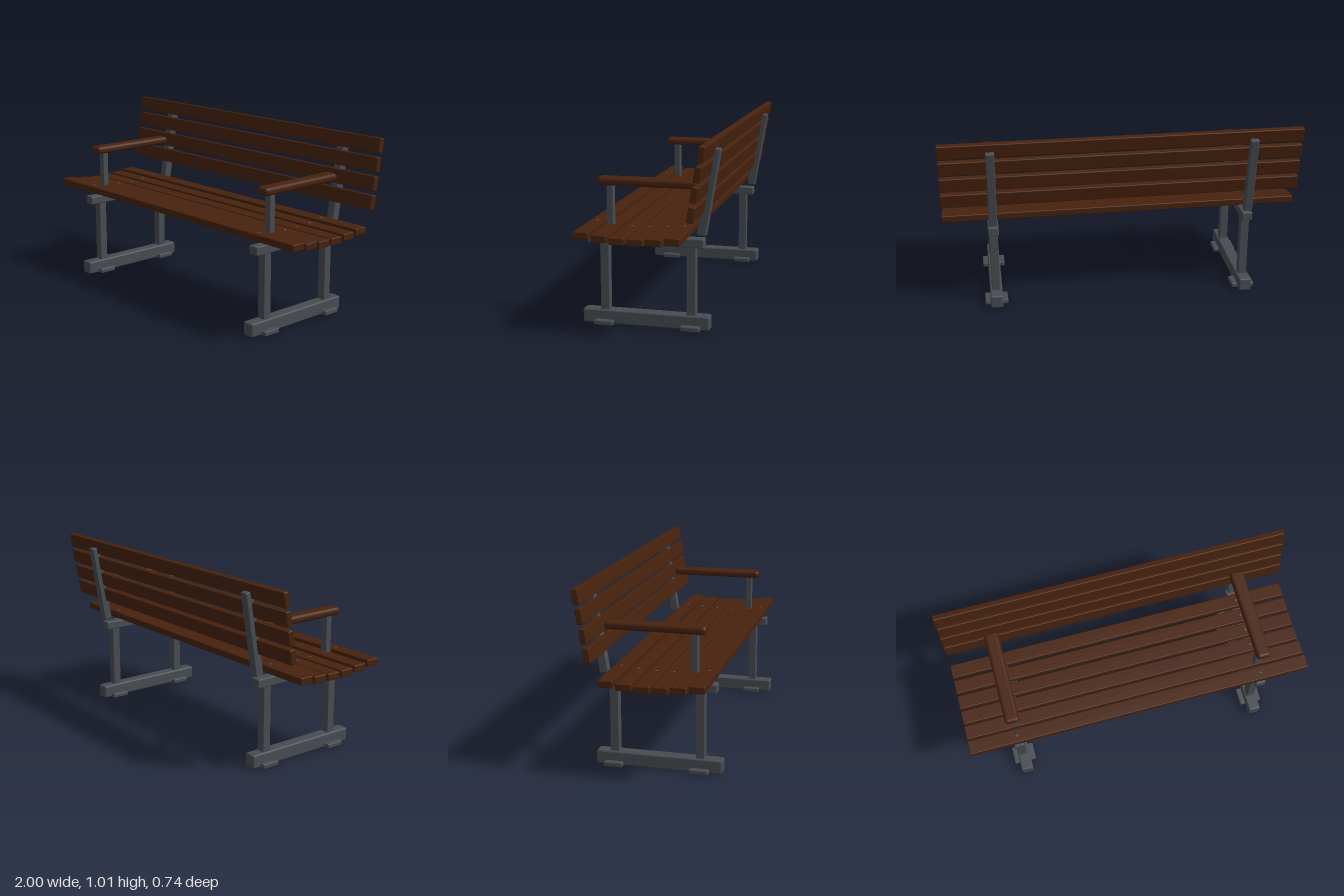
import * as THREE from 'three';
import { RoundedBoxGeometry } from 'three/addons/geometries/RoundedBoxGeometry.js';

export function createModel() {
  const bench = new THREE.Group();
  bench.name = 'bench';

  const wood = new THREE.MeshStandardMaterial({ color: 0x47220e });
  wood.name = 'brown wood';
  const metal = new THREE.MeshStandardMaterial({ color: 0x484c52 });
  metal.name = 'grey metal';

  // Softened box, given by its size and centre
  function bar(name, parent, material, size, centre, radius = 0.006, tilt = 0) {
    const mesh = new THREE.Mesh(new RoundedBoxGeometry(...size, 3, radius), material);
    mesh.name = name;
    mesh.position.set(...centre);
    mesh.rotation.x = tilt;
    parent.add(mesh);
    return mesh;
  }

  const frameX = 0.72;
  const lean = -0.165;

  // Seat: six slats following a shallow dip
  const seat = new THREE.Group();
  seat.name = 'seat';
  bench.add(seat);
  const seatHeights = [0.535, 0.523, 0.515, 0.514, 0.519, 0.529];
  const boltGeometry = new THREE.SphereGeometry(0.008, 12, 6, 0, Math.PI * 2, 0, Math.PI / 2);
  seatHeights.forEach((y, i) => {
    const z = 0.293 - i * 0.0945;
    bar('seatSlat', seat, wood, [2, 0.039, 0.081], [0, y, z]);
    // Bolt heads above each frame
    for (const side of [-1, 1]) {
      const bolt = new THREE.Mesh(boltGeometry, metal);
      bolt.name = 'seatBolt';
      bolt.scale.y = 0.5;
      bolt.position.set(side * frameX, y + 0.019, z);
      seat.add(bolt);
    }
  });

  // Backrest: four slats leaning backwards
  const backrest = new THREE.Group();
  backrest.name = 'backrest';
  bench.add(backrest);
  for (let i = 0; i < 4; i++) {
    bar('backSlat', backrest, wood, [2, 0.081, 0.035],
      [0, 0.668 + i * 0.1, -0.274 - i * 0.0168], 0.006, lean);
  }

  // Two matching side frames with armrests
  for (const side of [-1, 1]) {
    const frame = new THREE.Group();
    frame.name = side > 0 ? 'leftFrame' : 'rightFrame';
    frame.position.x = side * frameX;
    bench.add(frame);

    bar('baseBeam', frame, metal, [0.07, 0.076, 0.687], [0, 0.04, 0.0265], 0.01);
    bar('seatBeam', frame, metal, [0.06, 0.05, 0.622], [0, 0.464, 0.027], 0.007);
    for (const z of [0.25, -0.217]) {
      bar('leg', frame, metal, [0.048, 0.38, 0.048], [0, 0.26, z], 0.004);
    }
    for (const z of [0.25, -0.218]) {
      bar('foot', frame, metal, [0.13, 0.026, 0.103], [0, 0.013, z], 0.006);
    }
    bar('backPost', frame, metal, [0.048, 0.46, 0.048], [0, 0.734, -0.307], 0.006, lean);
    bar('armPost', frame, metal, [0.04, 0.28, 0.036], [0, 0.625, 0.218], 0.004);
    bar('armrest', frame, wood, [0.08, 0.045, 0.544], [0, 0.769, 0.011], 0.019);
  }

  return bench;
}
